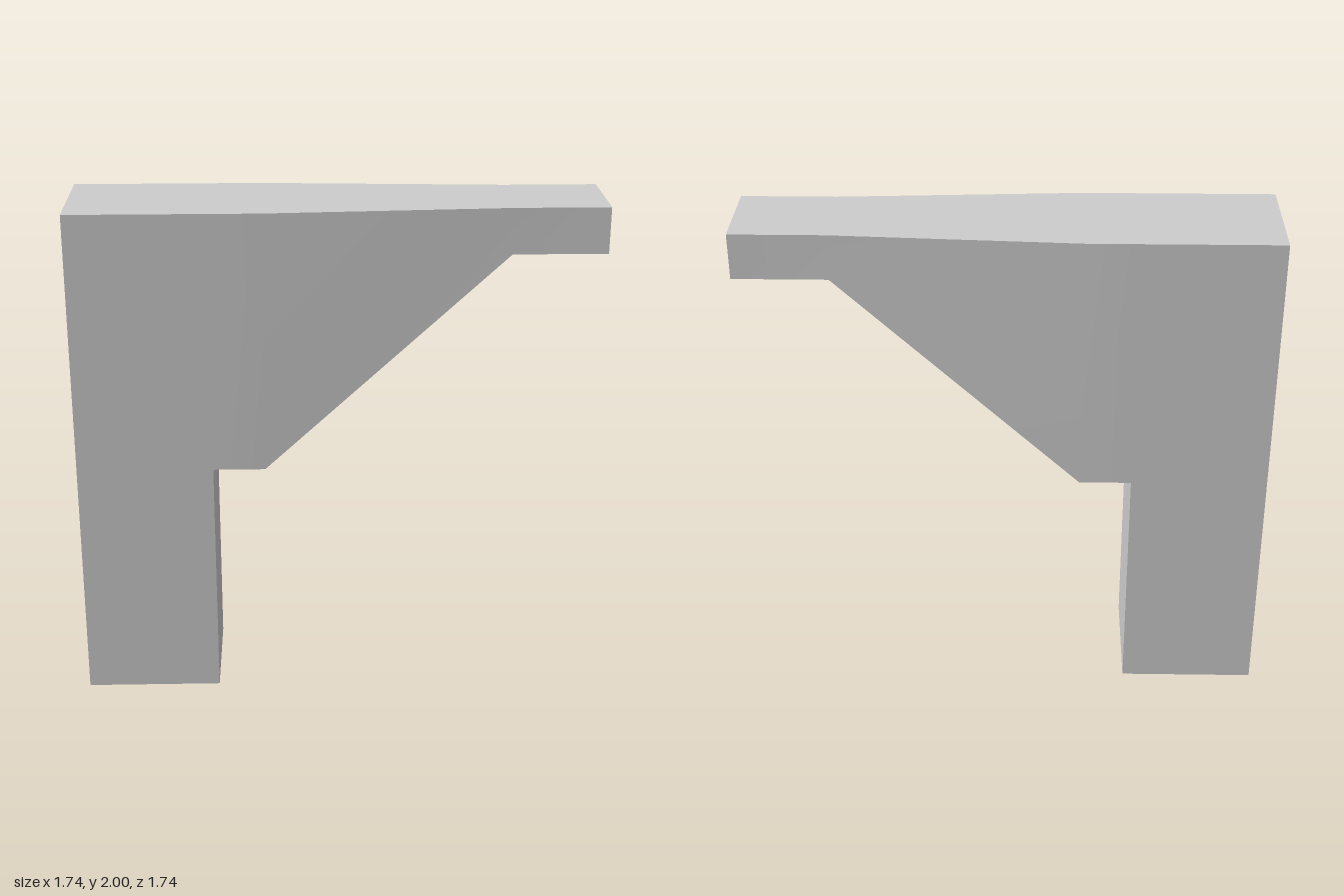
import * as THREE from 'three';
import { toCreasedNormals } from 'three/addons/utils/BufferGeometryUtils.js';

// Rectangular cross-section at length u: bottom, top, half width
const ring = ([u, y0, y1, h]) => [[u, y0, -h], [u, y0, h], [u, y1, h], [u, y1, -h]]
  .map((p) => new THREE.Vector3(...p));

// Skin a row of rectangular sections, optionally capping either end
function loft(sections, capStart, capEnd) {
  const rings = sections.map(ring);
  const pos = [];
  const tri = (a, b, c) => {
    if (new THREE.Triangle(a, b, c).getArea() < 1e-6) return;
    for (const p of [a, b, c]) pos.push(p.x, p.y, p.z);
  };
  const quad = (a, b, c, d) => { tri(a, b, c); tri(a, c, d); };
  for (let i = 0; i < rings.length - 1; i++) {
    for (let k = 0; k < 4; k++) {
      const n = (k + 1) % 4;
      quad(rings[i][k], rings[i + 1][k], rings[i + 1][n], rings[i][n]);
    }
  }
  if (capStart) quad(...rings[0]);
  if (capEnd) quad(...rings[rings.length - 1].slice().reverse());
  const g = new THREE.BufferGeometry();
  g.setAttribute('position', new THREE.Float32BufferAttribute(pos, 3));
  return toCreasedNormals(g, Math.PI / 9);
}

export function createModel() {
  const grey = new THREE.MeshStandardMaterial({ color: 0xcccccc });
  grey.name = 'plain grey';
  const model = new THREE.Group();
  model.name = 'bracket';
  const add = (name, geometry) => {
    const mesh = new THREE.Mesh(geometry, grey);
    mesh.name = name;
    model.add(mesh);
  };

  const end = -0.997;
  const slot = [0.11, 1.74, 0.131];

  // Post, sloping brace and tapering arm, starting at the rim of the slot
  add('postAndArm', loft([
    [end, ...slot],
    [end, 0, 2, 0.23],
    [-0.462, 0, 2, 0.23],
    [-0.462, 0.97, 2, 0.23],
    [-0.258, 0.97, 2, 0.23],
    [0.687, 1.82, 2, 0.175],
    [1.052, 1.82, 2, 0.175],
  ], false, true));

  // Deep slot sunk into the end of the post
  add('postSlot', loft([[-0.56, ...slot], [end, ...slot]], true, false));

  // The bracket stands on the diagonal
  for (const mesh of model.children) mesh.geometry.rotateY(Math.PI / 4);
  return model;
}
